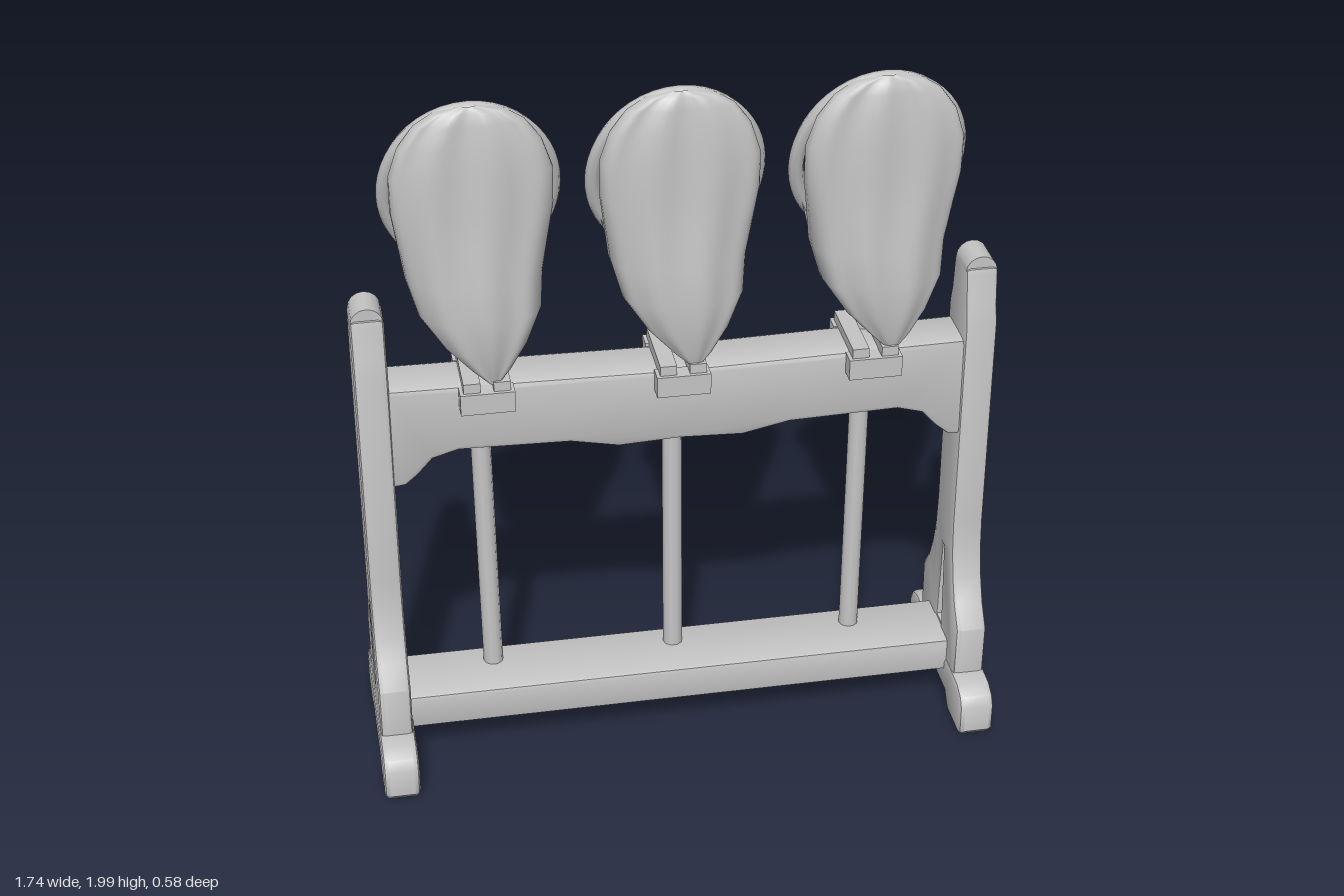
import * as THREE from 'three';
import { toCreasedNormals } from 'three/addons/utils/BufferGeometryUtils.js';

const grey = new THREE.MeshStandardMaterial({ color: 0xc4c4c4, side: THREE.DoubleSide });
grey.name = 'plain light grey';

function add(parent, name, geometry, x = 0, y = 0, z = 0) {
  const mesh = new THREE.Mesh(geometry, grey);
  mesh.name = name;
  mesh.position.set(x, y, z);
  parent.add(mesh);
  return mesh;
}

// Bevelled slab, centred on its thickness; the bevel stays inside the outline
function slab(shape, thickness, bevel = 0.015) {
  const g = new THREE.ExtrudeGeometry(shape, {
    depth: thickness - 2 * bevel, bevelEnabled: true, bevelThickness: bevel,
    bevelSize: bevel, bevelOffset: -bevel, bevelSegments: 2, curveSegments: 8,
  });
  g.translate(0, 0, bevel - thickness / 2);
  return toCreasedNormals(g, 0.7);
}

// Closed shape from one half of a left-right symmetric outline, bottom to top
function mirrored(half) {
  const left = half.filter(p => p[0] > 0).reverse().map(([x, y]) => [-x, y]);
  return new THREE.Shape([...half, ...left].map(p => new THREE.Vector2(...p)));
}

// Skin over rows of points of equal length
function skin(rows) {
  const n = rows[0].length, index = [];
  for (let j = 0; j < rows.length - 1; j++) {
    for (let i = 0; i < n - 1; i++) {
      const a = j * n + i;
      index.push(a, a + n, a + 1, a + 1, a + n, a + n + 1);
    }
  }
  const g = new THREE.BufferGeometry();
  g.setAttribute('position', new THREE.Float32BufferAttribute(rows.flat(2), 3));
  g.setIndex(index);
  g.computeVertexNormals();
  return g;
}

// Upright end frame: flared post with a slit and round top, standing on a two-toed foot
function endFrame() {
  const frame = new THREE.Group();
  const post = mirrored([
    [0.18, 0.1], [0.185, 0.3], [0.14, 0.36], [0.11, 0.43], [0.09, 0.51], [0.083, 0.6],
    [0.087, 1.24], [0.072, 1.29], [0.062, 1.38], [0.058, 1.395],
  ]);
  post.holes.push(new THREE.Path([[-0.022, 0.22], [0.022, 0.22], [0.004, 0.47], [-0.004, 0.47]]
    .map(p => new THREE.Vector2(...p))));
  const foot = mirrored([
    [0.12, 0.04], [0.14, 0.01], [0.16, 0], [0.27, 0], [0.288, 0.02],
    [0.288, 0.1], [0.27, 0.13], [0.23, 0.148], [0.18, 0.15],
  ]);
  add(frame, 'post', slab(post, 0.09)).rotation.y = -Math.PI / 2;
  add(frame, 'foot', slab(foot, 0.1)).rotation.y = -Math.PI / 2;
  add(frame, 'postTop', new THREE.CylinderGeometry(0.043, 0.043, 0.1, 16), 0, 1.385, 0).rotation.x = Math.PI / 2;
  return frame;
}

// Hoop point at an angle; the hoop leans back toward its base
function hoopPoint(a) {
  const y = 0.25 * Math.sin(a);
  return [0.216 * Math.cos(a), 1.72 + y, -0.015 + 0.28 * y];
}

// Bag sections: height, half width, front z, rim z, x drift
const SECTIONS = [
  [1.2, 0.012, 0.1, 0.09, 0.035], [1.24, 0.05, 0.113, 0.08, 0.03], [1.31, 0.11, 0.128, 0.045, 0.02],
  [1.4, 0.162, 0.136, 0.01, 0.01], [1.5, 0.18, 0.13, -0.01, 0], [1.6, 0.194, 0.12, 0.02, 0],
  [1.7, 0.208, 0.114, 0.042, 0], [1.8, 0.208, 0.112, 0.052, 0], [1.88, 0.182, 0.106, 0.058, 0],
  [1.94, 0.138, 0.098, 0.06, 0], [1.97, 0.09, 0.09, 0.06, 0], [1.985, 0.02, 0.075, 0.06, 0],
];
const BACK = [0.08, 0.065, 0.03, -0.025];

function net(drift, footShift) {
  const group = new THREE.Group();
  const steps = 28;
  const row = fn => Array.from({ length: steps + 1 }, (_, i) => fn(Math.PI * i / steps));

  // Front shell with soft lengthwise folds
  const front = SECTIONS.map(([y, w, f, r, dx], j) => row(t => {
    const fold = 0.006 * Math.sin(t) * Math.cos(8 * t + 0.3 * j + drift) * Math.min(1, w / 0.15);
    return [dx + w * Math.cos(t), y, r + (f - r) * Math.pow(Math.sin(t), 0.6) + fold];
  }));
  add(group, 'bagFront', skin(front));

  // Lower back, gathered up to the bottom of the hoop
  const back = BACK.map((b, j) => row(t => {
    const [y, w, , r, dx] = SECTIONS[j];
    return [dx + w * Math.cos(t), y, r - (r - b) * Math.sin(t)];
  }));
  back.push(row(t => hoopPoint(-0.35 - (Math.PI - 0.7) * t / Math.PI)));
  add(group, 'bagBack', skin(back));

  const loop = Array.from({ length: 20 }, (_, i) => new THREE.Vector3(...hoopPoint(i * Math.PI / 10)));
  const curve = new THREE.CatmullRomCurve3(loop, true);
  add(group, 'hoop', new THREE.TubeGeometry(curve, 48, 0.021, 8, true));

  // Handle leaning slightly back
  const handle = new THREE.LineCurve3(new THREE.Vector3(footShift, 0.19, -0.04), new THREE.Vector3(0, 1.48, -0.075));
  add(group, 'handle', new THREE.TubeGeometry(handle, 1, 0.028, 10));
  return group;
}

// Clip straddling the upper rail
function clip() {
  const group = new THREE.Group();
  for (const s of [-1, 1]) {
    add(group, 'clipPlate', new THREE.BoxGeometry(0.145, 0.06, 0.05), 0, 1.155, s * 0.095);
    add(group, 'clipJaw', new THREE.BoxGeometry(0.045, 0.085, 0.22), s * 0.04, 1.17, 0);
  }
  return group;
}

export function createModel() {
  const model = new THREE.Group();
  model.name = 'netRack';

  for (const s of [-1, 1]) {
    const frame = endFrame();
    frame.name = s > 0 ? 'leftEndFrame' : 'rightEndFrame';
    frame.position.x = s * 0.82;
    model.add(frame);
  }

  // Upper rail with corbels at the ends and a slightly sagging underside
  const rail = mirrored([
    [0, 0.962], [0.17, 0.955], [0.3, 0.982], [0.6, 0.99], [0.67, 0.97], [0.71, 0.925],
    [0.745, 0.895], [0.79, 0.89], [0.79, 1.19], [0.4, 1.185], [0, 1.178],
  ]);
  add(model, 'upperRail', slab(rail, 0.15));
  add(model, 'lowerRail', slab(mirrored([[0.79, 0.108], [0.79, 0.212]]), 0.21, 0.012));

  // Three nets with their clips
  [-0.535, 0, 0.535].forEach((x, i) => {
    const n = net(i * 1.3, -0.03 * x - 0.004);
    n.name = 'net';
    n.position.x = x;
    const c = clip();
    c.name = 'clip';
    c.position.x = x * 0.975;
    model.add(n, c);
  });
  return model;
}
